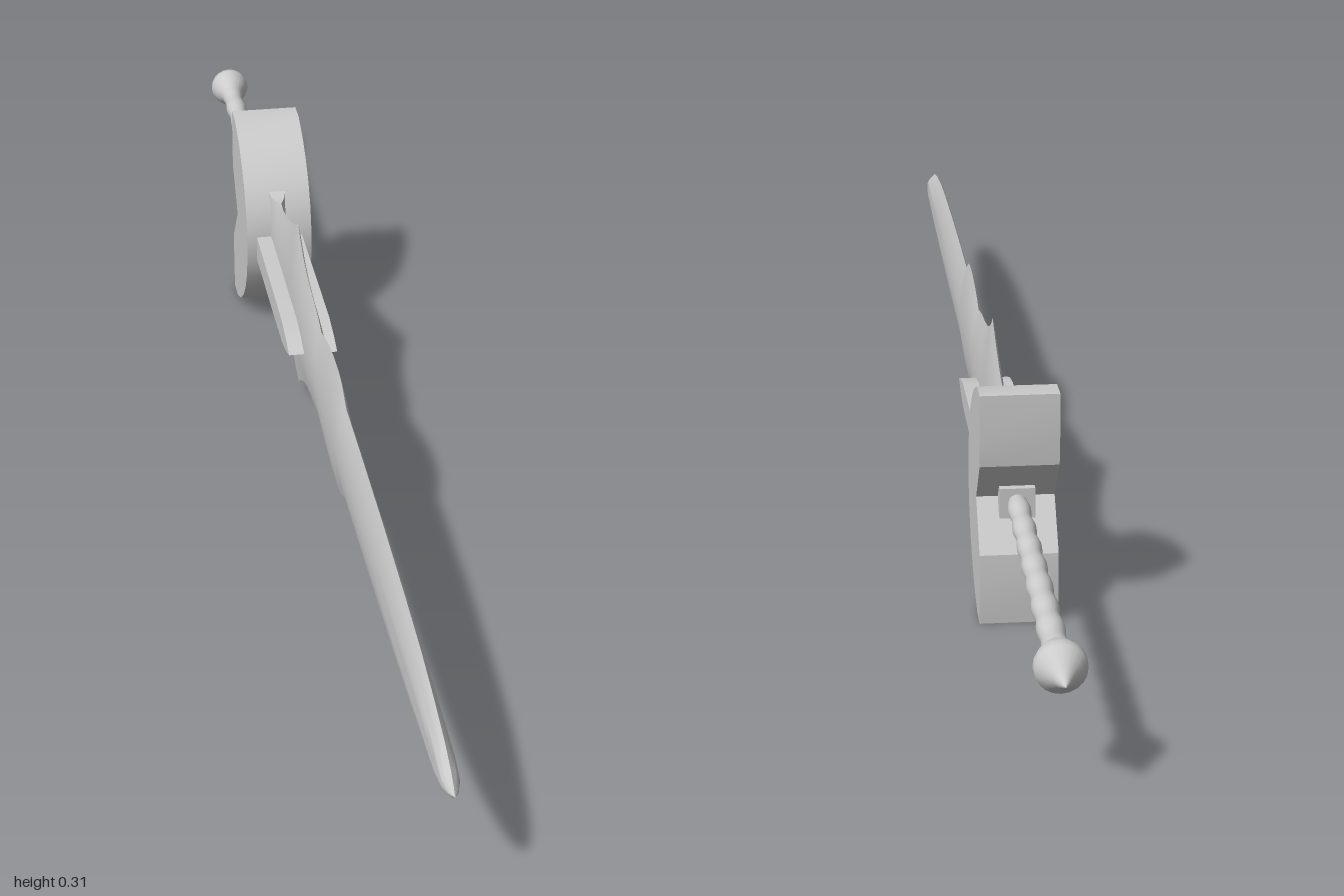
import * as THREE from 'three';
import { toCreasedNormals } from 'three/addons/utils/BufferGeometryUtils.js';

const MID = 0.153; // height of the sword's long axis
const mat = new THREE.MeshStandardMaterial({ color: 0xcccccc, side: THREE.DoubleSide });

function add(group, name, geometry) {
  const mesh = new THREE.Mesh(geometry, mat);
  mesh.name = name;
  mesh.position.y = MID;
  group.add(mesh);
  return mesh;
}

// Lens-section blade lofted along z; stations are [z, half height, half thickness, edge share]
function bladeGeometry() {
  const w = 0.013;
  const stations = [
    [-0.37, 0.079, w, 1], [-0.355, 0.074, w, 0.7], [-0.335, 0.075, w, 0.15], [-0.3, 0.08, w, 0],
    [-0.25, 0.091, w, 0], [-0.21, 0.105, w, 0], [-0.18, 0.117, w, 0], [-0.15, 0.132, w, 0],
    [-0.13, 0.118, w, 0], [-0.1, 0.103, w, 0], [-0.07, 0.094, w, 0], [-0.03, 0.087, w, 0],
    [0.01, 0.083, w, 0], [0.04, 0.077, w, 0], [0.065, 0.071, w, 0], [0.09, 0.078, w, 0],
    [0.13, 0.087, w, 0], [0.17, 0.092, w, 0], [0.21, 0.092, w, 0], [0.235, 0.088, w, 0],
    [0.26, 0.077, w, 0], [0.275, 0.07, w, 0], [0.4, 0.069, w, 0], [0.55, 0.066, w, 0],
    [0.7, 0.06, w, 0], [0.8, 0.053, w, 0], [0.88, 0.042, w, 0], [0.94, 0.03, w, 0],
    [0.975, 0.018, 0.011, 0], [0.992, 0.009, 0.006, 0], [1, 0.001, 0.001, 0],
  ];
  const n = 12, ring = 2 * (n + 1), pos = [], idx = [];
  for (const [z, h, t, e] of stations) {
    for (const side of [1, -1]) {
      for (let i = 0; i <= n; i++) {
        const u = side * (2 * i / n - 1);
        pos.push(side * t * (e + (1 - e) * (1 - u * u)), u * h, z);
      }
    }
  }
  for (let j = 0; j < stations.length - 1; j++) {
    for (let i = 0; i < ring; i++) {
      const a = j * ring + i, b = j * ring + (i + 1) % ring;
      idx.push(a, b, b + ring, a, b + ring, a + ring);
    }
  }
  for (let i = 1; i < ring - 1; i++) idx.push(0, i + 1, i); // rear cap
  const g = new THREE.BufferGeometry();
  g.setAttribute('position', new THREE.Float32BufferAttribute(pos, 3));
  g.setIndex(idx);
  return toCreasedNormals(g, 0.6);
}

// Side outline (z, y) mirrored above and below the axis, extruded across x
function sideSlab(upper, halfWidth) {
  const lower = upper.filter(p => p[1] > 0).reverse().map(([z, y]) => [z, -y]);
  const shape = new THREE.Shape([...upper, ...lower].map(([z, y]) => new THREE.Vector2(-z, y)));
  const g = new THREE.ExtrudeGeometry(shape, { depth: 2 * halfWidth, bevelEnabled: false });
  g.translate(0, 0, -halfWidth);
  g.rotateY(Math.PI / 2);
  return toCreasedNormals(g, 0.45);
}

export function createModel() {
  const sword = new THREE.Group();
  sword.name = 'sword';

  add(sword, 'blade', bladeGeometry());

  // Raised pointed rib on both faces of the blade
  const rib = add(sword, 'bladeRib', sideSlab(
    [[-0.01, 0], [-0.04, 0.01], [-0.08, 0.017], [-0.2, 0.019], [-0.37, 0.019]], 0.035));
  rib.position.y = 0.148;

  // Winged guard with a notch at the back
  add(sword, 'guard', sideSlab([
    [-0.345, 0], [-0.348, 0.03], [-0.358, 0.06], [-0.375, 0.088], [-0.4, 0.113],
    [-0.43, 0.135], [-0.475, 0.154], [-0.51, 0.154], [-0.513, 0.1], [-0.51, 0.06], [-0.46, 0],
  ], 0.05));

  // Collar where the grip enters the guard
  const collar = new THREE.BoxGeometry(0.045, 0.04, 0.05);
  collar.translate(0, 0, -0.462);
  add(sword, 'collar', collar);

  // Grip with soft ripples
  const gripPoints = [];
  for (let i = 0; i <= 60; i++) {
    const d = 0.44 + 0.47 * i / 60;
    const r = 0.013 + 0.003 * i / 60 + 0.0012 * Math.sin((d - 0.44) * 110);
    gripPoints.push(new THREE.Vector2(r, d));
  }
  const grip = new THREE.LatheGeometry(gripPoints, 20);
  grip.rotateX(-Math.PI / 2);
  add(sword, 'grip', grip);

  // Pommel swelling to a point
  const pommelPoints = [
    [0.015, 0.9], [0.018, 0.915], [0.026, 0.93], [0.031, 0.945],
    [0.03, 0.955], [0.022, 0.966], [0.012, 0.98], [0.005, 0.993], [0, 1],
  ].map(([r, d]) => new THREE.Vector2(r, d));
  const pommel = new THREE.LatheGeometry(pommelPoints, 20);
  pommel.rotateX(-Math.PI / 2);
  add(sword, 'pommel', pommel);

  return sword;
}
